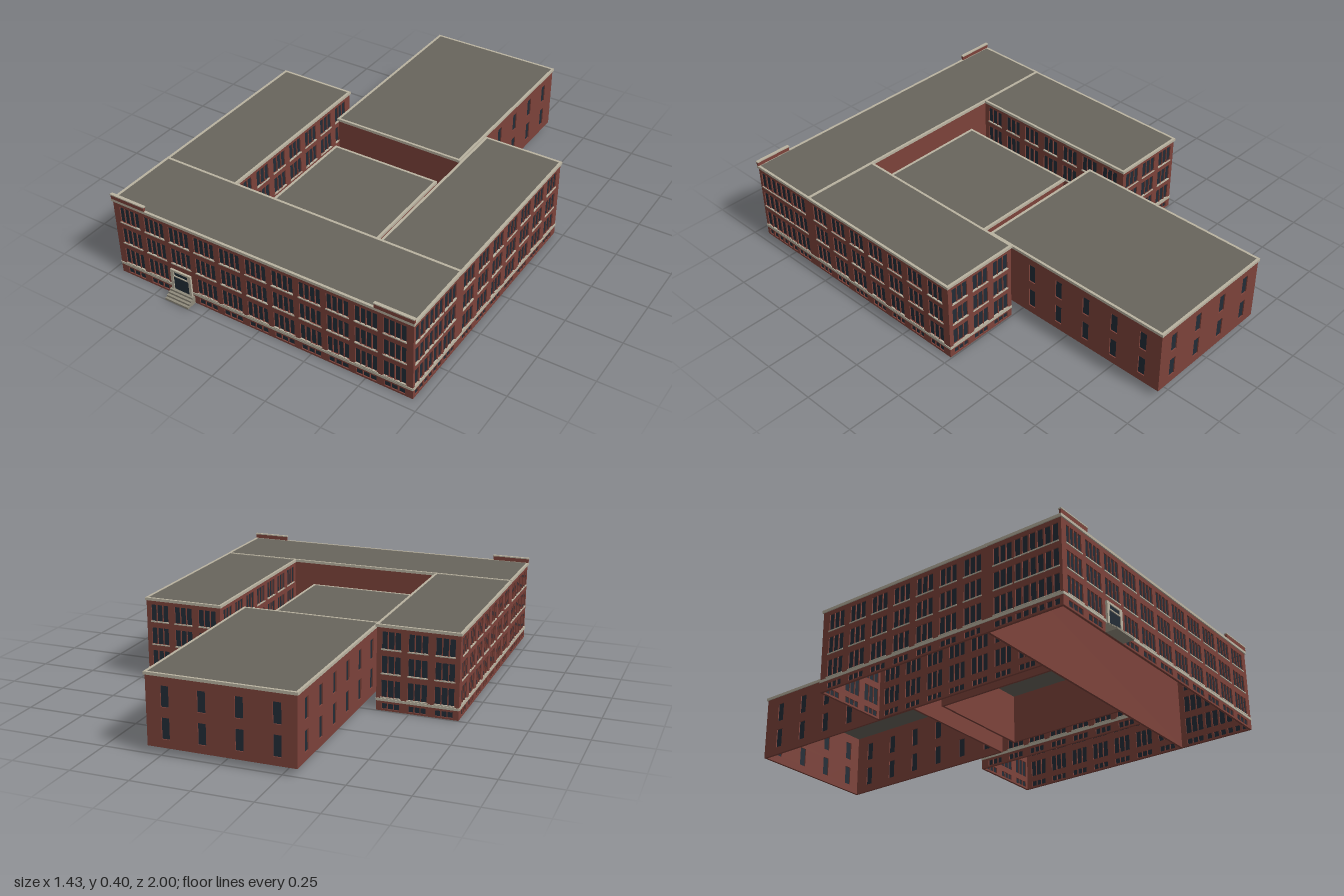
import * as THREE from 'three';

const mat = (name, color, side = THREE.FrontSide) => {
  const m = new THREE.MeshStandardMaterial({ color, side });
  m.name = name;
  return m;
};

export function createModel() {
  const brick = mat('brick', 0x7c423a);
  const glass = mat('glass', 0x222c36, THREE.DoubleSide);
  const stone = mat('stone', 0xb9b2a0);
  const roofing = mat('roofing', 0x68655c);
  const stepStone = mat('stepStone', 0x8f8a7b);

  const model = new THREE.Group();
  model.name = 'schoolBuilding';
  const T = 0.01; // wall thickness

  // Box given by its limits
  const box = (name, material, x0, x1, y0, y1, z0, z1, parent = model) => {
    const mesh = new THREE.Mesh(new THREE.BoxGeometry(x1 - x0, y1 - y0, z1 - z0), material);
    mesh.position.set((x0 + x1) / 2, (y0 + y1) / 2, (z0 + z1) / 2);
    mesh.name = name;
    parent.add(mesh);
    return mesh;
  };

  const rect = (target, x0, x1, y0, y1) => {
    target.moveTo(x0, y0);
    target.lineTo(x1, y0);
    target.lineTo(x1, y1);
    target.lineTo(x0, y1);
    target.closePath();
    return target;
  };

  // Wall with pierced windows; local x runs along it and local z = 0 is its outer face.
  // Each bay is { c, w, y0, y1, n, sill }: n lights across a width w centred on c.
  const wall = (name, a, b, y0, y1, bays, x, z, turn, belt = false) => {
    const g = new THREE.Group();
    g.name = name;
    const shape = rect(new THREE.Shape(), a, b, y0, y1);
    for (const { c, w, y0: lo, y1: hi, n, sill } of bays) {
      const gap = 0.004;
      const lw = (w - gap * (n - 1)) / n;
      for (let i = 0; i < n; i++) {
        const l = c - w / 2 + i * (lw + gap);
        shape.holes.push(rect(new THREE.Path(), l, l + lw, lo, hi));
      }
      const pane = new THREE.Mesh(new THREE.PlaneGeometry(w, hi - lo), glass);
      pane.position.set(c, (lo + hi) / 2, -T / 2);
      pane.name = 'windowPane';
      g.add(pane);
      if (sill) box('windowSill', stone, c - w / 2 - 0.003, c + w / 2 + 0.003, lo - 0.005, lo, -0.004, 0.003, g);
    }
    const geo = new THREE.ExtrudeGeometry(shape, { depth: T, bevelEnabled: false });
    geo.translate(0, 0, -T);
    const mesh = new THREE.Mesh(geo, brick);
    mesh.name = 'brickwork';
    g.add(mesh);
    if (belt) box('beltCourse', stone, a, b, 0.043, 0.054, -0.004, 0.003, g);
    g.position.set(x, 0, z);
    g.rotation.y = turn;
    model.add(g);
  };

  // Three storeys and a basement of windows at one position
  const storeys = [[0.06, 0.135], [0.165, 0.24], [0.27, 0.345]];
  const stack = (c, w, n, skipGround = false) => {
    const out = storeys
      .filter((s, i) => !(skipGround && i === 0))
      .map(([y0, y1]) => ({ c, w, y0, y1, n, sill: true }));
    if (!skipGround) out.push({ c, w: w * 0.92, y0: 0.008, y1: 0.033, n: Math.min(n, 3), sill: false });
    return out;
  };

  // Flat roof with a stone rim
  const roof = (name, x0, x1, z0, z1, y) => {
    const g = new THREE.Group();
    g.name = name;
    const o = 0.005, w = 0.011, lo = y - 0.012;
    box('roofDeck', roofing, x0 + 0.002, x1 - 0.002, y - 0.008, y - 0.002, z0 + 0.002, z1 - 0.002, g);
    box('rimBack', stone, x0 - o, x1 + o, lo, y, z0 - o, z0 - o + w, g);
    box('rimFront', stone, x0 - o, x1 + o, lo, y, z1 + o - w, z1 + o, g);
    box('rimRight', stone, x0 - o, x0 - o + w, lo, y, z0, z1, g);
    box('rimLeft', stone, x1 + o - w, x1 + o, lo, y, z0, z1, g);
    model.add(g);
  };

  const H = 0.37, W = 0.71, IN = 0.355, ZF = 0.95, ZM = 0.605, ZW = -0.245;
  const Q = Math.PI / 2;

  // Front range: eleven bays, with the entrance in the third
  const frontBays = [];
  for (let i = 0; i < 11; i++) frontBays.push(...stack((i - 5) * 0.126, 0.098, 4, i === 2));
  wall('frontWall', -W, W, 0, H, frontBays, 0, ZF, 0, true);
  wall('courtWall', -W + T, W - T, 0, H, [], 0, ZM, Math.PI);
  roof('frontRoof', -W, W, ZM, ZF, 0.376);

  // Side walls: narrow lights beside the front corner, then regular bays
  const sideZ = [];
  for (let i = 0; i < 6; i++) sideZ.push([0.923 - i * 0.0342, 0.026, 1]);
  sideZ.push([0.683, 0.086, 3]);
  const wingZ = [];
  for (let i = 0; i < 7; i++) wingZ.push([0.54 - i * 0.118, 0.082, 3]);

  for (const s of [1, -1]) {
    const side = s > 0 ? 'left' : 'right';
    // local x equals -s * z on outward walls and s * z on court walls
    const outer = [...sideZ, ...wingZ].flatMap(([z, w, n]) => stack(-s * z, w, n));
    const inner = wingZ.flatMap(([z, w, n]) => stack(s * z, w, n));
    const span = (k, z0, z1) => [Math.min(k * z0, k * z1), Math.max(k * z0, k * z1)];
    wall(side + 'OuterWall', ...span(-s, ZW, ZF), 0, H, outer, s * W, 0, s * Q, true);
    wall(side + 'InnerWall', ...span(s, ZW, ZM), 0, H, inner, s * IN, 0, -s * Q, true);
    const mid = (W + IN) / 2;
    const end = [-0.115, 0, 0.115].flatMap((d) => stack(-s * mid + d, 0.082, 3));
    wall(side + 'WingEnd', ...span(-s, IN, W), 0, H, end, 0, ZW, Math.PI, true);
    const [x0, x1] = span(s, IN, W);
    roof(side + 'WingRoof', x0, x1, ZW, ZM, 0.375);

    // Raised parapet at the front corner
    const [p0, p1] = span(s, 0.543, 0.714);
    box(side + 'Parapet', brick, p0, p1, 0.376, 0.394, 0.945, 0.955);
    box(side + 'ParapetCoping', stone, p0 - 0.002, p1 + 0.002, 0.394, 0.399, 0.943, 0.957);
  }

  // Plain low hall in the courtyard
  const hallTop = 0.255;
  wall('hallBack', -0.255, 0.255, 0.03, hallTop, [], 0, 0.015, Math.PI);
  wall('hallLeft', -ZM, -0.015, 0.03, hallTop, [], 0.255, 0, Q);
  wall('hallRight', 0.015, ZM, 0.03, hallTop, [], -0.255, 0, -Q);
  roof('hallRoof', -0.255, 0.255, 0.015, ZM - 0.006, 0.26);

  // Rear block with two rows of single windows
  const rearRows = (cs) => cs.flatMap((c) =>
    [[0.065, 0.153], [0.195, 0.282]].map(([y0, y1]) => ({ c, w: 0.034, y0, y1, n: 1, sill: false })));
  const rearZ = [0, 1, 2, 3, 4, 5].map((i) => -0.175 - i * 0.146);
  const RX = 0.31, R0 = -0.995, R1 = -0.09, RH = 0.325;
  wall('rearBack', -RX, RX, 0.03, RH, rearRows([-0.23, -0.077, 0.077, 0.23]), 0, R0, Math.PI);
  wall('rearFront', -RX, RX, 0.03, RH, [], 0, R1, 0);
  wall('rearLeft', -R1, -R0, 0.03, RH, rearRows(rearZ.map((z) => -z)), RX, 0, Q);
  wall('rearRight', R0, R1, 0.03, RH, rearRows(rearZ), -RX, 0, -Q);
  roof('rearRoof', -RX, RX, R0, R1, 0.331);

  // Entrance: stone surround, door, transom and steps
  const entrance = new THREE.Group();
  entrance.name = 'entrance';
  model.add(entrance);
  const surround = rect(new THREE.Shape(), -0.434, -0.33, 0.03, 0.135);
  surround.holes.push(rect(new THREE.Path(), -0.421, -0.343, 0.034, 0.102));
  surround.holes.push(rect(new THREE.Path(), -0.417, -0.347, 0.107, 0.126));
  const frame = new THREE.Mesh(new THREE.ExtrudeGeometry(surround, { depth: 0.009, bevelEnabled: false }), stone);
  frame.position.z = ZF;
  frame.name = 'doorSurround';
  entrance.add(frame);
  box('doorAndTransom', glass, -0.425, -0.34, 0.033, 0.128, ZF, ZF + 0.005, entrance);
  for (let i = 0; i < 4; i++) {
    box('step', stepStone, -0.44, -0.322, i * 0.0088, (i + 1) * 0.0088, ZF, 1 - i * 0.011, entrance);
  }

  return model;
}
